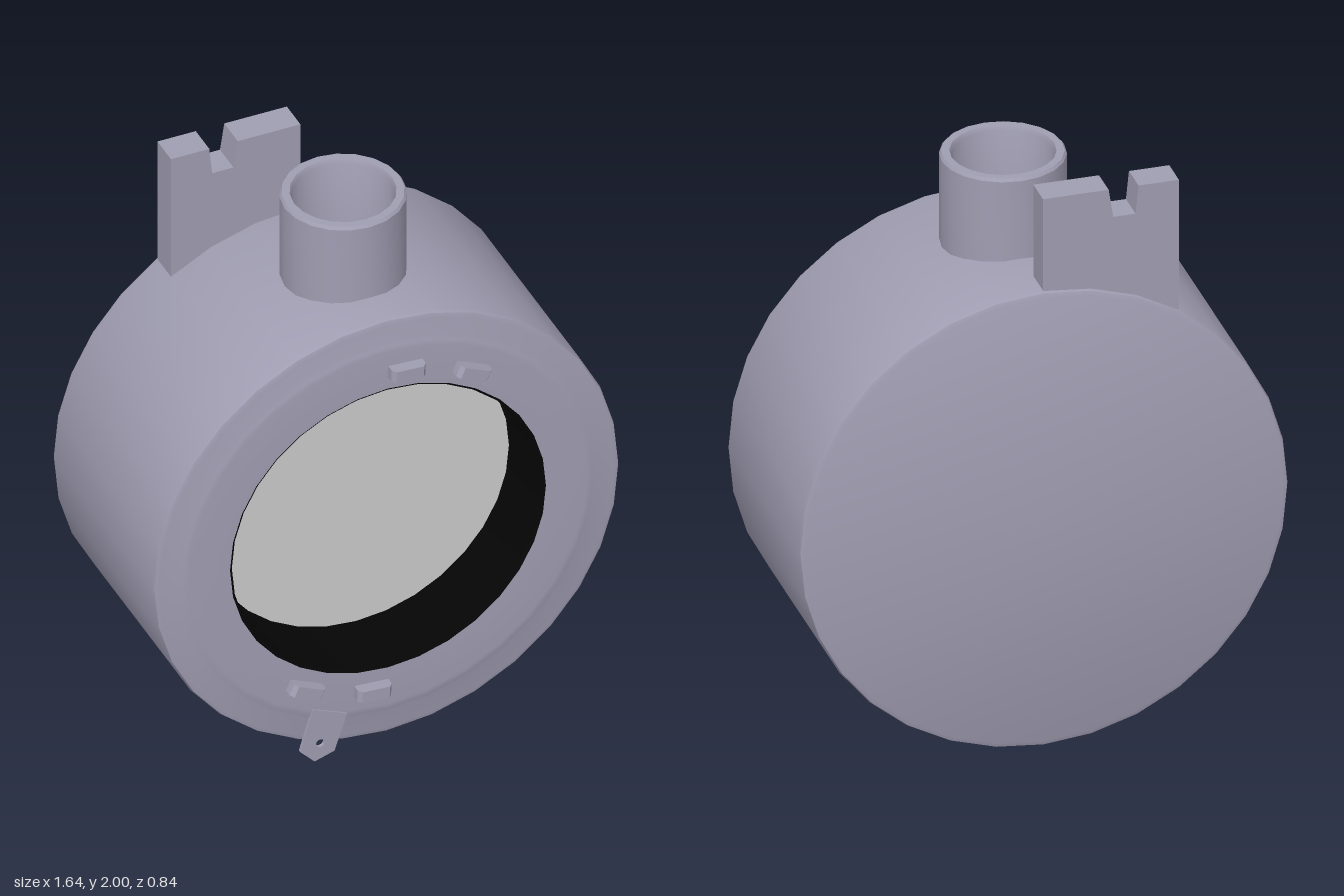
import * as THREE from 'three';
import { toCreasedNormals } from 'three/addons/utils/BufferGeometryUtils.js';

const CY = 0.85; // height of the drum axis
const shell = new THREE.MeshStandardMaterial({ color: 0xa09db2 });
const black = new THREE.MeshStandardMaterial({ color: 0x050505, side: THREE.DoubleSide });
const grey = new THREE.MeshStandardMaterial({ color: 0xcccccc });

function add(group, name, geometry, material = shell) {
  const mesh = new THREE.Mesh(geometry, material);
  mesh.name = name;
  group.add(mesh);
  return mesh;
}

function lathe(profile, sides) {
  const points = profile.map(([r, y]) => new THREE.Vector2(r, y));
  return toCreasedNormals(new THREE.LatheGeometry(points, sides), 0.6);
}

function polygon(points) {
  return new THREE.Shape(points.map(([x, y]) => new THREE.Vector2(x, y)));
}

function plate(shape, depth, z) {
  return new THREE.ExtrudeGeometry(shape, { depth, bevelEnabled: false, curveSegments: 6 }).translate(0, 0, z);
}

export function createModel() {
  const group = new THREE.Group();

  // Drum housing: flat back, softened rims, raised front ring with a round opening
  const drum = lathe([
    [0, -0.42], [0.80, -0.42], [0.815, -0.414], [0.82, -0.40],
    [0.82, 0.35], [0.815, 0.365], [0.80, 0.37],
    [0.735, 0.37], [0.72, 0.376], [0.70, 0.378], [0.555, 0.378],
  ], 32);
  add(group, 'drumHousing', drum.rotateX(Math.PI / 2)).position.y = CY;

  // Dark wall of the recess and the disc at its bottom
  const wall = lathe([[0.555, 0.378], [0.545, 0.37], [0.545, 0.13], [0.53, 0.13]], 32);
  add(group, 'recessWall', wall.rotateX(Math.PI / 2), black).position.y = CY;
  add(group, 'windowDisc', new THREE.CircleGeometry(0.537, 32), grey).position.set(0, CY, 0.131);

  // Open pipe on top
  const pipe = lathe([
    [0.205, 1.5], [0.205, 1.95], [0.198, 1.96], [0.172, 1.96], [0.165, 1.945], [0.165, 1.5],
  ], 20);
  add(group, 'topPipe', pipe).position.z = 0.03;

  // Notched mounting bracket at the back
  const bracket = polygon([
    [-0.455, 1.45], [0, 1.45], [0, 2], [-0.22, 2], [-0.235, 1.9],
    [-0.31, 1.9], [-0.32, 2], [-0.455, 2],
  ]);
  add(group, 'rearBracket', plate(bracket, 0.105, -0.405));

  // Small chamfered clips around the opening
  const profile = polygon([
    [-0.06, 0.37], [0.06, 0.37], [0.06, 0.405], [0.048, 0.42], [-0.048, 0.42], [-0.06, 0.405],
  ]);
  const clips = [[0.06, 1.47, -0.05], [0.29, 1.398, -0.42], [-0.295, 0.307, -0.42], [-0.06, 0.232, -0.06]];
  clips.forEach(([x, y, turn], i) => {
    const clip = new THREE.Group();
    clip.name = `clip${i + 1}`;
    add(clip, 'clipBase', plate(profile, 0.042, -0.021).rotateX(Math.PI / 2).scale(1, 1, 1));
    clip.position.set(x, y, 0);
    clip.rotation.z = turn;
    group.add(clip);
    // rotateX turns the profile height towards +z
  });

  // Thin lower tab with a hole
  const tab = polygon([
    [-0.265, 0.21], [-0.31, 0.055], [-0.26, 0.003], [-0.19, 0.025], [-0.145, 0.16],
  ]);
  const hole = new THREE.Path();
  hole.absarc(-0.24, 0.07, 0.015, 0, Math.PI * 2, true);
  tab.holes.push(hole);
  add(group, 'lowerTab', plate(tab, 0.012, 0.371));

  return group;
}
